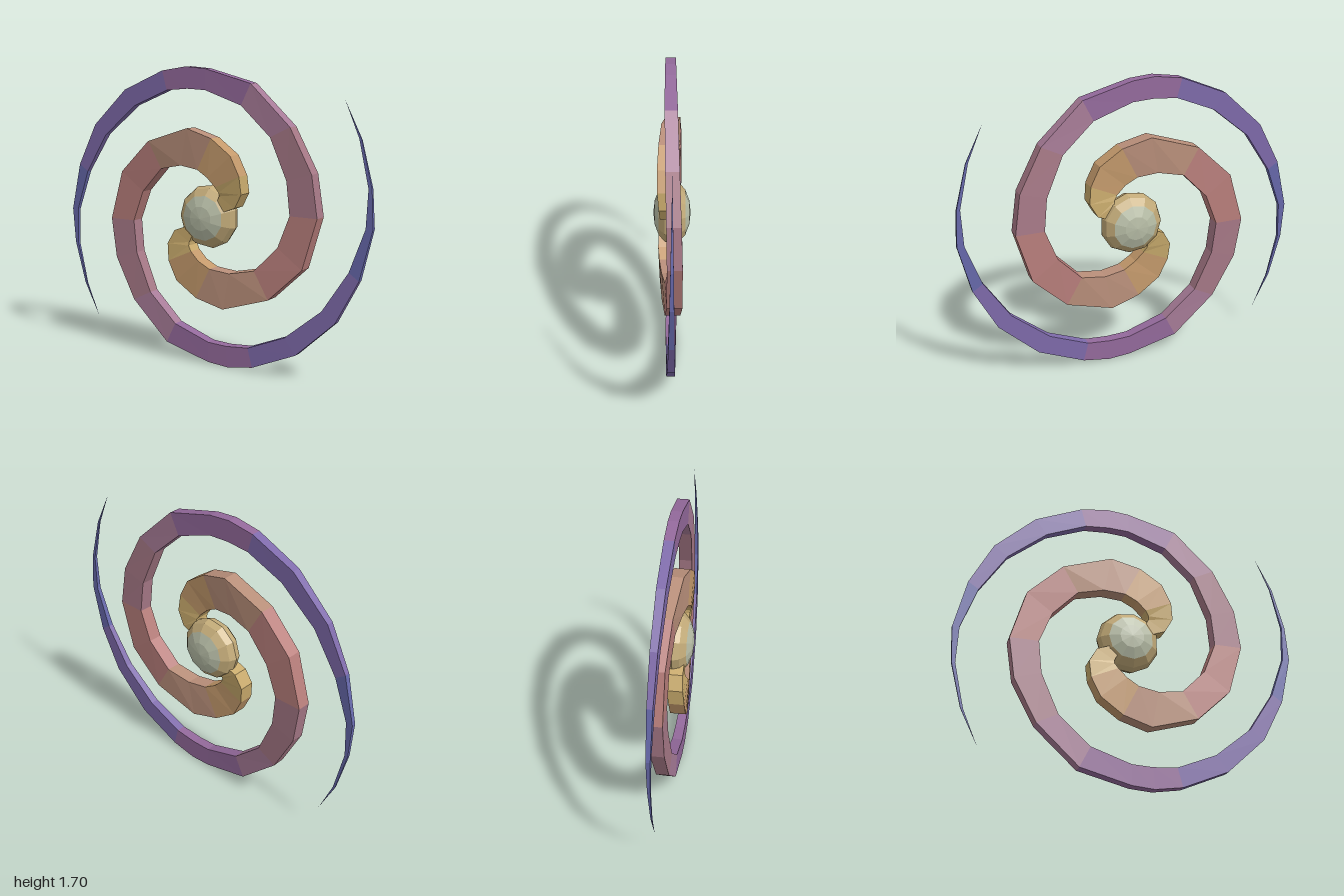
import * as THREE from 'three';

// Arm stations around the hub: inner x, inner y, outer x, outer y
const STATIONS = [
  [0.07, 0.08, 0.12, 0.05], [0.10, 0.14, 0.20, 0.08], [0.10, 0.16, 0.245, 0.16],
  [0.08, 0.19, 0.235, 0.26], [0.03, 0.24, 0.18, 0.37], [-0.04, 0.28, 0.05, 0.46],
  [-0.16, 0.295, -0.12, 0.507], [-0.31, 0.265, -0.40, 0.42], [-0.45, 0.12, -0.60, 0.23],
  [-0.52, -0.06, -0.685, -0.06], [-0.50, -0.25, -0.65, -0.294], [-0.40, -0.48, -0.52, -0.54],
  [-0.22, -0.645, -0.28, -0.765], [0.01, -0.722, 0.01, -0.84], [0.13, -0.727, 0.14, -0.85],
  [0.27, -0.715, 0.30, -0.825], [0.50, -0.62, 0.57, -0.71], [0.72, -0.44, 0.80, -0.497],
  [0.87, -0.21, 0.93, -0.25], [0.957, 0.03, 0.998, 0.03], [0.965, 0.24, 0.985, 0.24],
  [0.905, 0.495, 0.92, 0.49], [0.818, 0.695, 0.818, 0.695],
];

// Colour bands along an arm: first station, last station, colour
const BANDS = [
  [0, 3, 0xc8aa6c], [3, 5, 0xc49a6c], [5, 7, 0xb98f7a], [7, 9, 0xb97f7c], [9, 11, 0xa87a88],
  [11, 12, 0xa87c98], [12, 15, 0x946a9c], [15, 18, 0x7e6aaa], [18, 22, 0x6668aa],
];

const flat = (color) => new THREE.MeshStandardMaterial({ color, flatShading: true });

// Four-cornered sections; the arm waves gently in depth and thins to the tip
function armSections() {
  let last = 0;
  return STATIONS.map(([xi, yi, xo, yo]) => {
    let a = THREE.MathUtils.radToDeg(Math.atan2(yi + yo, xi + xo));
    while (a < last - 20) a += 360;
    last = a;
    const z = 0.06 * Math.exp(-a / 140) * Math.sin((Math.PI * 2 * (a - 20)) / 220);
    const h = 0.045 * Math.max(0, 1 - (a / 400) ** 3);
    return [[xi, yi, z + h], [xo, yo, z + h], [xo, yo, z - h], [xi, yi, z - h]];
  });
}

// Joins consecutive sections with four walls
function loft(sections) {
  const pos = [];
  for (let i = 0; i < sections.length - 1; i++) {
    const s = sections[i], n = sections[i + 1];
    for (let k = 0; k < 4; k++) {
      const m = (k + 1) % 4;
      pos.push(...s[k], ...s[m], ...n[m], ...s[k], ...n[m], ...n[k]);
    }
  }
  const geo = new THREE.BufferGeometry();
  geo.setAttribute('position', new THREE.Float32BufferAttribute(pos, 3));
  geo.computeVertexNormals();
  return geo;
}

export function createModel() {
  const model = new THREE.Group();
  model.name = 'spiralGalaxy';

  // Flattened core with pale caps front and back
  const core = new THREE.Group();
  core.name = 'core';
  const rings = [
    ['coreFrontCap', 0, 2, 0xb9bfa8], ['coreBody', 2, 4, 0xc2aa78], ['coreBackCap', 6, 2, 0xb9bfa8],
  ];
  for (const [name, start, count, color] of rings) {
    const step = Math.PI / 8;
    const geo = new THREE.SphereGeometry(0.183, 11, count, 0, Math.PI * 2, start * step, count * step);
    geo.rotateX(Math.PI / 2);
    geo.scale(1, 1, 0.58);
    const mesh = new THREE.Mesh(geo, flat(color));
    mesh.name = name;
    core.add(mesh);
  }
  core.position.set(-0.005, 0.858, 0);
  model.add(core);

  // Two arms, half a turn apart
  const sections = armSections();
  for (let i = 0; i < 2; i++) {
    const arm = new THREE.Group();
    arm.name = i ? 'lowerArm' : 'upperArm';
    for (const [from, to, color] of BANDS) {
      const mesh = new THREE.Mesh(loft(sections.slice(from, to + 1)), flat(color));
      mesh.name = 'armBand';
      arm.add(mesh);
    }
    arm.position.y = 0.85;
    arm.rotation.z = i * Math.PI;
    model.add(arm);
  }
  return model;
}
